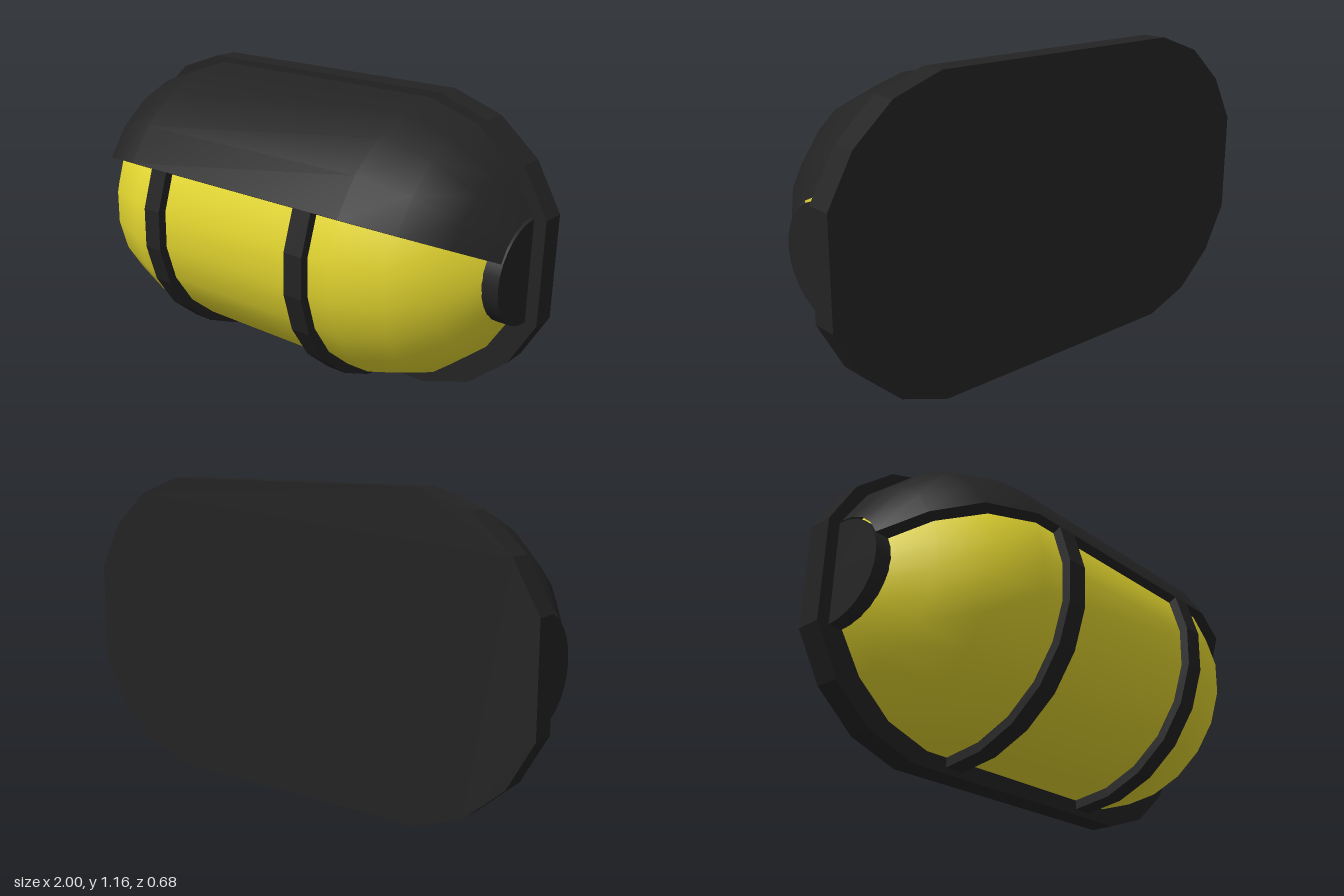
import * as THREE from 'three';
import { mergeGeometries } from 'three/addons/utils/BufferGeometryUtils.js';

const CY = 0.578, BACK = -0.24, SEG = 11, EDGE = 4;
const OUTER = { ry: 0.555, rz: 0.585, xs: [0.51, 0.71, 0.85, 0.948] };
const INNER = { ry: 0.518, rz: 0.55, xs: [0.49, 0.67, 0.81, 0.9] };
const SCALE = [1, 0.885, 0.655, 0.375]; // section size at each x station

// Point k of the half-ellipse running from the top (0) over the front to the bottom (SEG)
function arc(shell, k, s = 1) {
  const a = (k * Math.PI) / SEG;
  return [CY + shell.ry * s * Math.cos(a), BACK + shell.rz * s * Math.sin(a)];
}

// Mirrored stations from -x to +x
function stations(shell) {
  const right = shell.xs.map((x, i) => [x, SCALE[i]]);
  const left = right.map(([x, s]) => [-x, s]).reverse();
  return [...left, ...right];
}

// One cross-section of a shell between two arc steps
function section(shell, i, from, to) {
  const [x, s] = stations(shell)[i];
  const row = [];
  for (let k = from; k <= to; k++) row.push([x, ...arc(shell, k, s)]);
  return row;
}

// Smooth surface through rows of points
function loft(rows) {
  const n = rows[0].length, index = [];
  for (let i = 0; i < rows.length - 1; i++) {
    for (let j = 0; j < n - 1; j++) {
      const a = i * n + j, b = a + n;
      index.push(a, a + 1, b, b, a + 1, b + 1);
    }
  }
  const g = new THREE.BufferGeometry();
  g.setAttribute('position', new THREE.Float32BufferAttribute(rows.flat(2), 3));
  g.setIndex(index);
  g.computeVertexNormals();
  return g;
}

export function createModel() {
  const model = new THREE.Group();
  model.name = 'bulkheadLamp';
  const black = new THREE.MeshStandardMaterial({ color: 0x232323 });
  black.name = 'black housing';
  const yellow = new THREE.MeshStandardMaterial({ color: 0xe2d52f, side: THREE.DoubleSide });
  yellow.name = 'yellow lens';
  const add = (name, geometry, material) => {
    const mesh = new THREE.Mesh(geometry, material);
    mesh.name = name;
    model.add(mesh);
    return mesh;
  };
  const eight = [0, 1, 2, 3, 4, 5, 6, 7];

  // Back plate with faceted rounded ends
  const quarter = [[0.55, 0.578], [0.745, 0.51], [0.9, 0.375], [1, 0.197]];
  const outline = [
    ...quarter,
    ...quarter.map(([x, y]) => [x, -y]).reverse(),
    ...quarter.map(([x, y]) => [-x, -y]),
    ...quarter.map(([x, y]) => [-x, y]).reverse(),
  ].map(([x, y]) => new THREE.Vector2(x, y + CY));
  const plate = new THREE.ExtrudeGeometry(new THREE.Shape(outline), { depth: 0.1, bevelEnabled: false });
  add('backPlate', plate.translate(0, 0, -0.34), black);

  // Domed lens
  add('lens', loft(eight.map((i) => section(INNER, i, 0, SEG))), yellow);

  // Hood over the upper part, with the lip down to the lens
  const hood = loft(eight.map((i) => section(OUTER, i, 0, EDGE)));
  const lip = loft(eight.map((i) => [
    section(OUTER, i, EDGE, EDGE)[0],
    section(INNER, i, EDGE, EDGE)[0],
  ]));
  add('hood', mergeGeometries([hood, lip]), black);

  // Half-round end bosses and guard straps, mirrored
  const strapShape = new THREE.Shape();
  const rim = [], inside = [];
  for (let k = EDGE; k <= SEG; k++) {
    const [y, z] = arc(OUTER, k), [yi, zi] = arc(INNER, k, 0.98);
    rim.push(new THREE.Vector2(-z, y));
    inside.unshift(new THREE.Vector2(-zi, yi));
  }
  strapShape.setFromPoints([...rim, ...inside]);
  for (const side of [-1, 1]) {
    const tag = side > 0 ? 'left' : 'right';
    const boss = new THREE.CylinderGeometry(0.213, 0.213, 0.075, 14, 1, false, -Math.PI / 2, Math.PI);
    boss.rotateZ(Math.PI / 2).scale(1, 0.92, 1.03);
    add(tag + 'EndBoss', boss, black).position.set(side * 0.9165, CY, BACK);

    const strap = new THREE.ExtrudeGeometry(strapShape, { depth: 0.08, bevelEnabled: false });
    strap.translate(0, 0, -0.04).rotateY(Math.PI / 2);
    add(tag + 'Strap', strap, black).position.x = side * 0.357;
  }
  return model;
}
